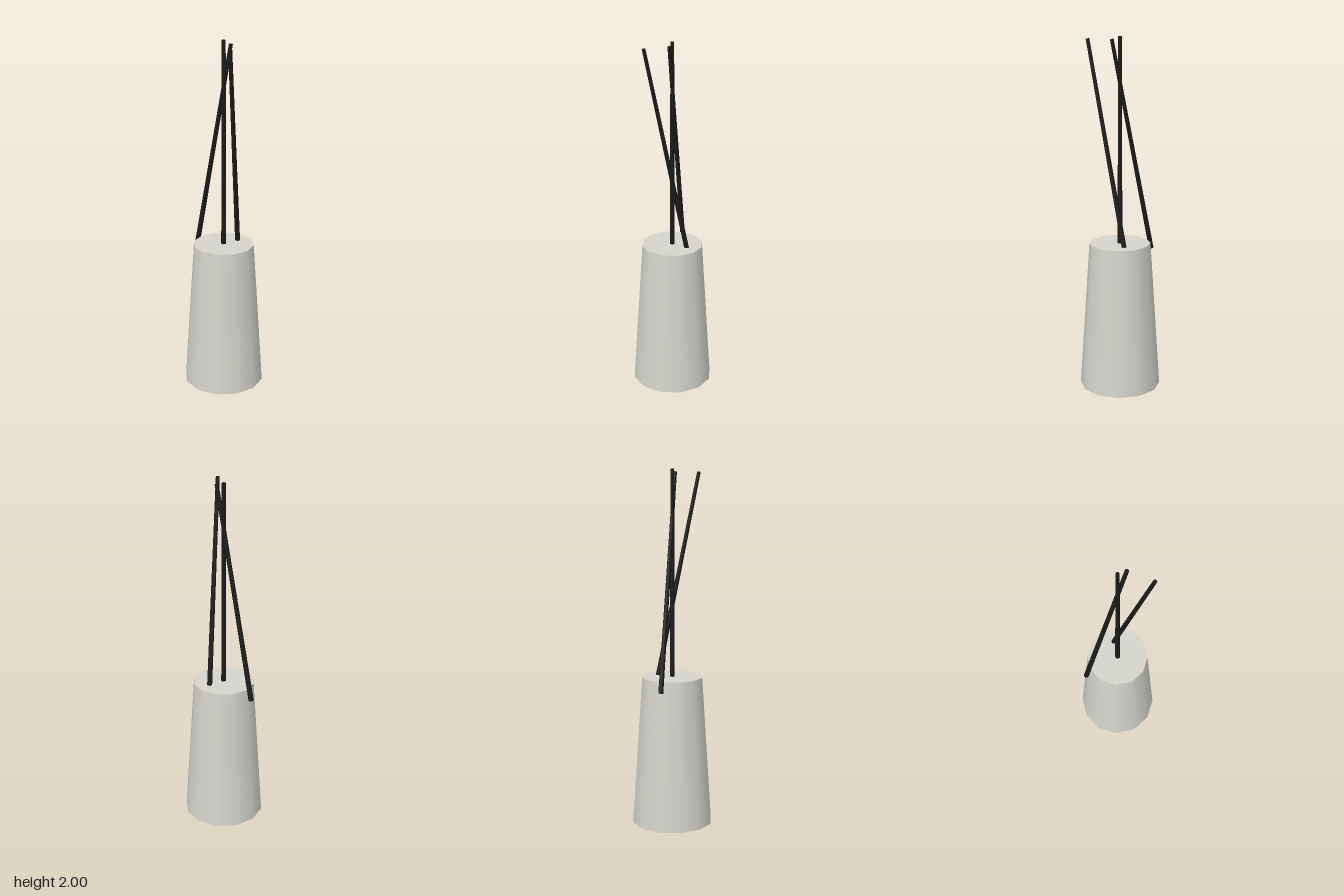
import * as THREE from 'three';

// Tapered stick between a base point and a tip point
function makeStick(name, base, tip, material) {
  const a = new THREE.Vector3(...base);
  const b = new THREE.Vector3(...tip);
  const dir = b.clone().sub(a);
  const stick = new THREE.Mesh(new THREE.CylinderGeometry(0.0105, 0.0145, dir.length(), 8), material);
  stick.name = name;
  stick.position.copy(a).add(b).multiplyScalar(0.5);
  stick.quaternion.setFromUnitVectors(new THREE.Vector3(0, 1, 0), dir.normalize());
  return stick;
}

export function createModel() {
  const model = new THREE.Group();
  model.name = 'vaseWithSticks';

  const vaseMaterial = new THREE.MeshStandardMaterial({ color: 0xd4d4cc });
  const stickMaterial = new THREE.MeshStandardMaterial({ color: 0x1a1a1a });

  // Tapered twelve-sided vase
  const height = 0.847;
  const vase = new THREE.Mesh(new THREE.CylinderGeometry(0.173, 0.23, height, 12), vaseMaterial);
  vase.name = 'vase';
  vase.position.y = height / 2;
  model.add(vase);

  // Three sticks: one upright, two leaning
  model.add(
    makeStick('centreStick', [0, 0.78, 0], [0, 2, 0], stickMaterial),
    makeStick('rightStick', [-0.205, 0.79, 0], [0.05, 1.985, 0], stickMaterial),
    makeStick('leftStick', [0.019, 0.79, -0.102], [0.14, 1.985, 0.11], stickMaterial)
  );

  return model;
}
